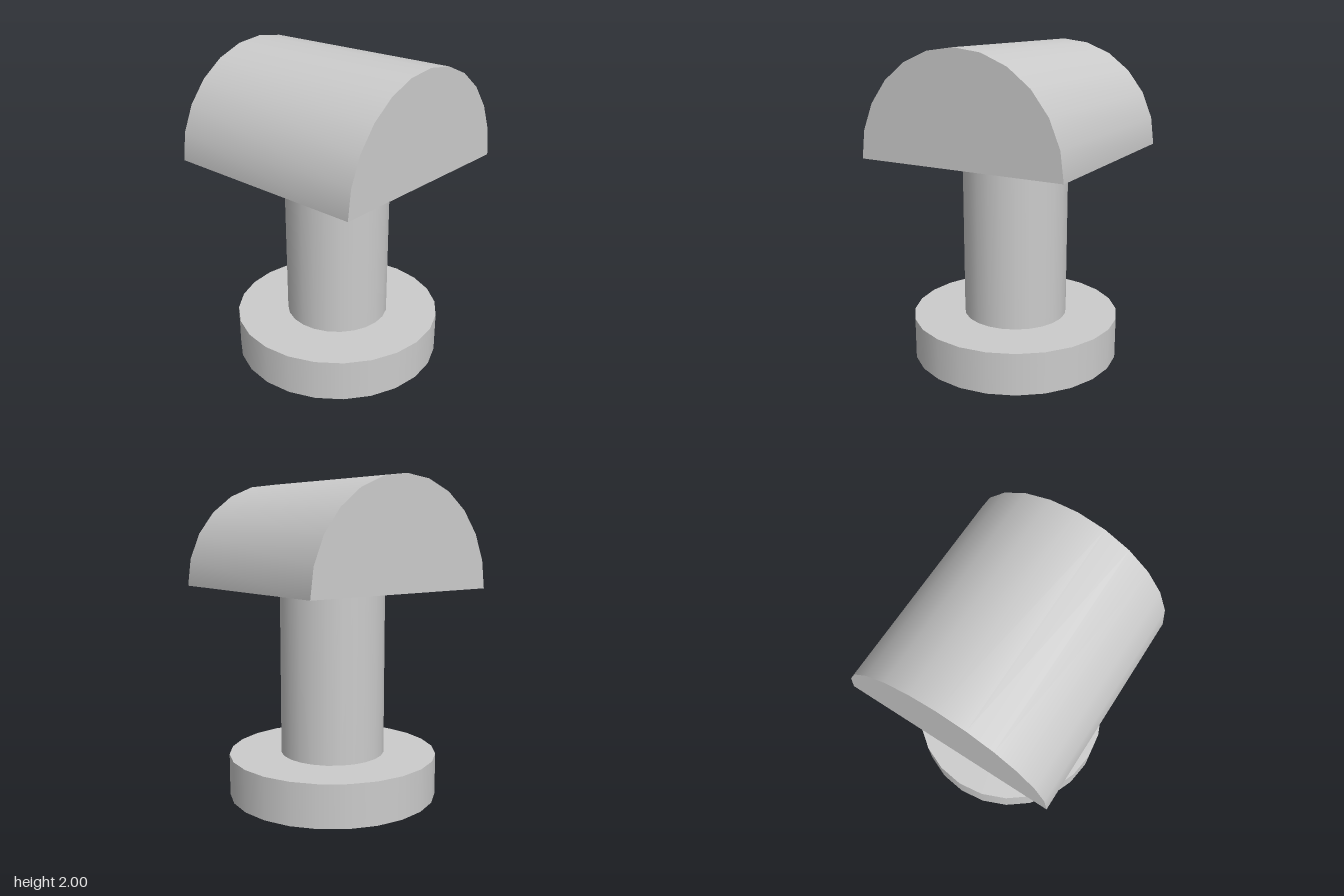
import * as THREE from 'three';
import { mergeGeometries } from 'three/addons/utils/BufferGeometryUtils.js';

const RADIUS = 2 / 3;        // base and head radius
const COLUMN_RADIUS = 1 / 3;
const BASE_TOP = 0.2667;
const HEAD_BOTTOM = 4 / 3;

export function createModel() {
  const group = new THREE.Group();
  const material = new THREE.MeshStandardMaterial({ color: 0xcccccc });

  const add = (name, geometry, y) => {
    const mesh = new THREE.Mesh(geometry, material);
    mesh.name = name;
    mesh.position.y = y;
    group.add(mesh);
  };

  // Round foot and upright column
  add('base', new THREE.CylinderGeometry(RADIUS, RADIUS, BASE_TOP, 24), BASE_TOP / 2);
  const columnHeight = HEAD_BOTTOM - BASE_TOP;
  add('column', new THREE.CylinderGeometry(COLUMN_RADIUS, COLUMN_RADIUS, columnHeight, 24),
    BASE_TOP + columnHeight / 2);

  // Half-round head lying along z, closed by a flat underside
  const dome = new THREE.CylinderGeometry(RADIUS, RADIUS, 2 * RADIUS, 12, 1, false, Math.PI / 2, Math.PI);
  const underside = new THREE.PlaneGeometry(2 * RADIUS, 2 * RADIUS);
  dome.rotateX(Math.PI / 2);
  underside.rotateX(Math.PI / 2);
  add('head', mergeGeometries([dome, underside]), HEAD_BOTTOM);

  return group;
}
